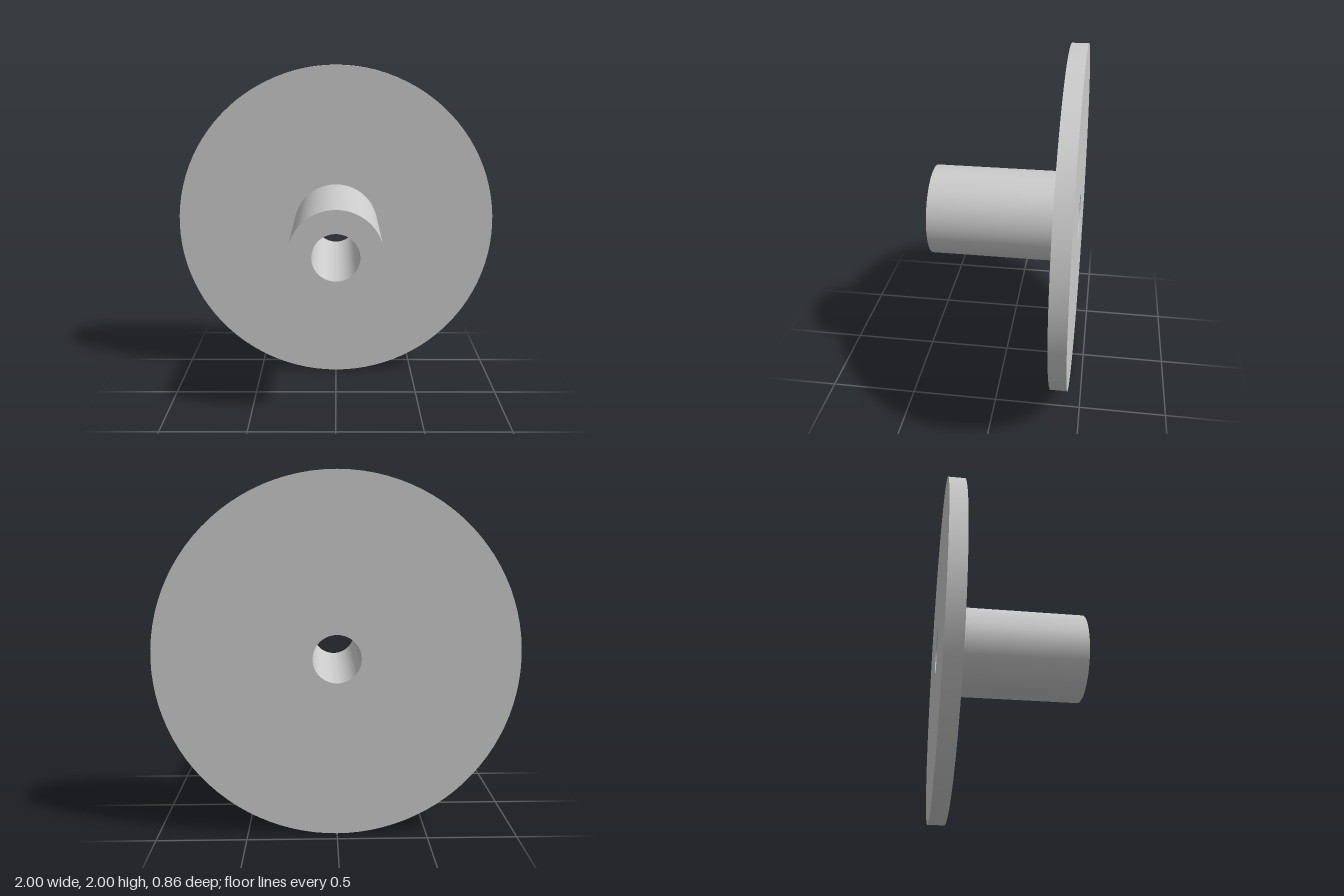
import * as THREE from 'three';
import { toCreasedNormals } from 'three/addons/utils/BufferGeometryUtils.js';

const BORE = 0.133;
const material = new THREE.MeshStandardMaterial({ color: 0xcccccc });

// Cylinder along z with the bore running through it, from zBack to zFront
function boredCylinder(name, radius, zBack, zFront, sides) {
  const shape = new THREE.Shape().absarc(0, 0, radius, 0, Math.PI * 2);
  shape.holes.push(new THREE.Path().absarc(0, 0, BORE, 0, Math.PI * 2, true));
  const geometry = new THREE.ExtrudeGeometry(shape, {
    depth: zFront - zBack,
    bevelEnabled: false,
    curveSegments: sides,
  });
  const mesh = new THREE.Mesh(toCreasedNormals(geometry, 0.6), material);
  mesh.name = name;
  mesh.position.set(0, 1, zBack);
  return mesh;
}

export function createModel() {
  const group = new THREE.Group();
  group.name = 'flangedBushing';

  // Wide thin disc at the back
  group.add(boredCylinder('flangeDisc', 1, -0.43, -0.335, 48));

  // Tubular hub projecting forward from the disc
  group.add(boredCylinder('hub', 0.265, -0.335, 0.43, 48));

  return group;
}
